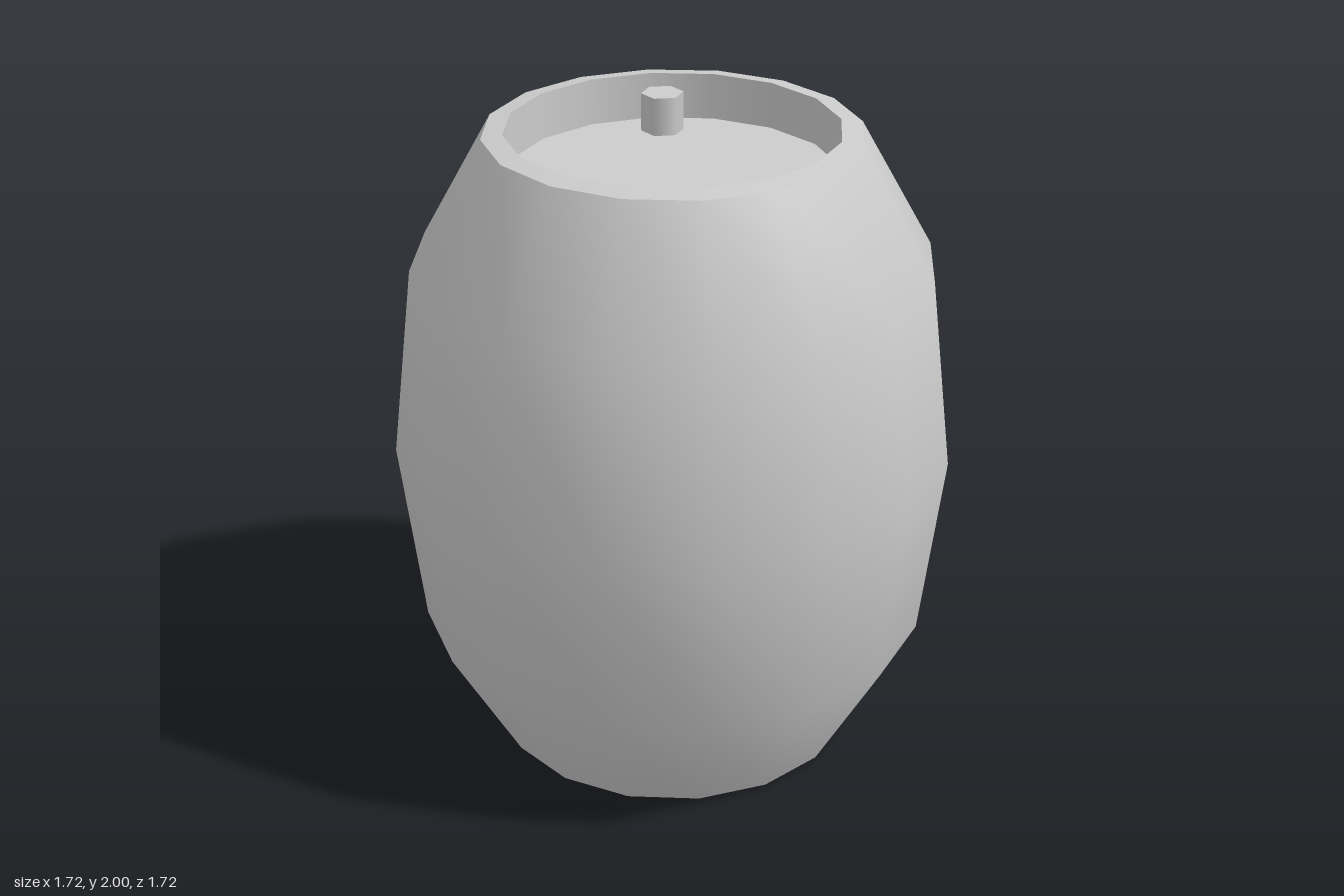
import * as THREE from 'three';

const SIDES = 16;

export function createModel() {
  const model = new THREE.Group();
  const material = new THREE.MeshStandardMaterial({ color: 0xcccccc });

  // Revolve one smooth strip; separate strips keep the edges between them sharp
  const ring = (name, profile) => {
    const points = profile.map(([r, y]) => new THREE.Vector2(r, y));
    const mesh = new THREE.Mesh(new THREE.LatheGeometry(points, SIDES), material);
    mesh.name = name;
    model.add(mesh);
  };

  const outer = 0.565, inner = 0.5, depth = 0.145;

  // Bulging staves
  ring('barrelSide', [[outer, 0.01], [0.79, 0.41], [0.86, 1], [0.79, 1.59], [outer, 1.99]]);

  // Top end: rim, recess wall and lid
  ring('topRim', [[outer, 1.99], [inner, 2]]);
  ring('topRecessWall', [[inner, 2], [inner, 2 - depth]]);
  ring('topLid', [[inner, 2 - depth], [0, 2 - depth]]);

  // Bottom end mirrors the top
  ring('bottomLid', [[0, depth], [inner, depth]]);
  ring('bottomRecessWall', [[inner, depth], [inner, 0]]);
  ring('bottomRim', [[inner, 0], [outer, 0.01]]);

  // Hexagonal plug standing on the lid
  const plugHeight = 0.12;
  const plug = new THREE.Mesh(new THREE.CylinderGeometry(0.066, 0.066, plugHeight, 6), material);
  plug.name = 'plug';
  plug.rotation.y = Math.PI / 2;
  plug.position.set(0.02, 2 - depth + plugHeight / 2, -0.385);
  model.add(plug);

  return model;
}
